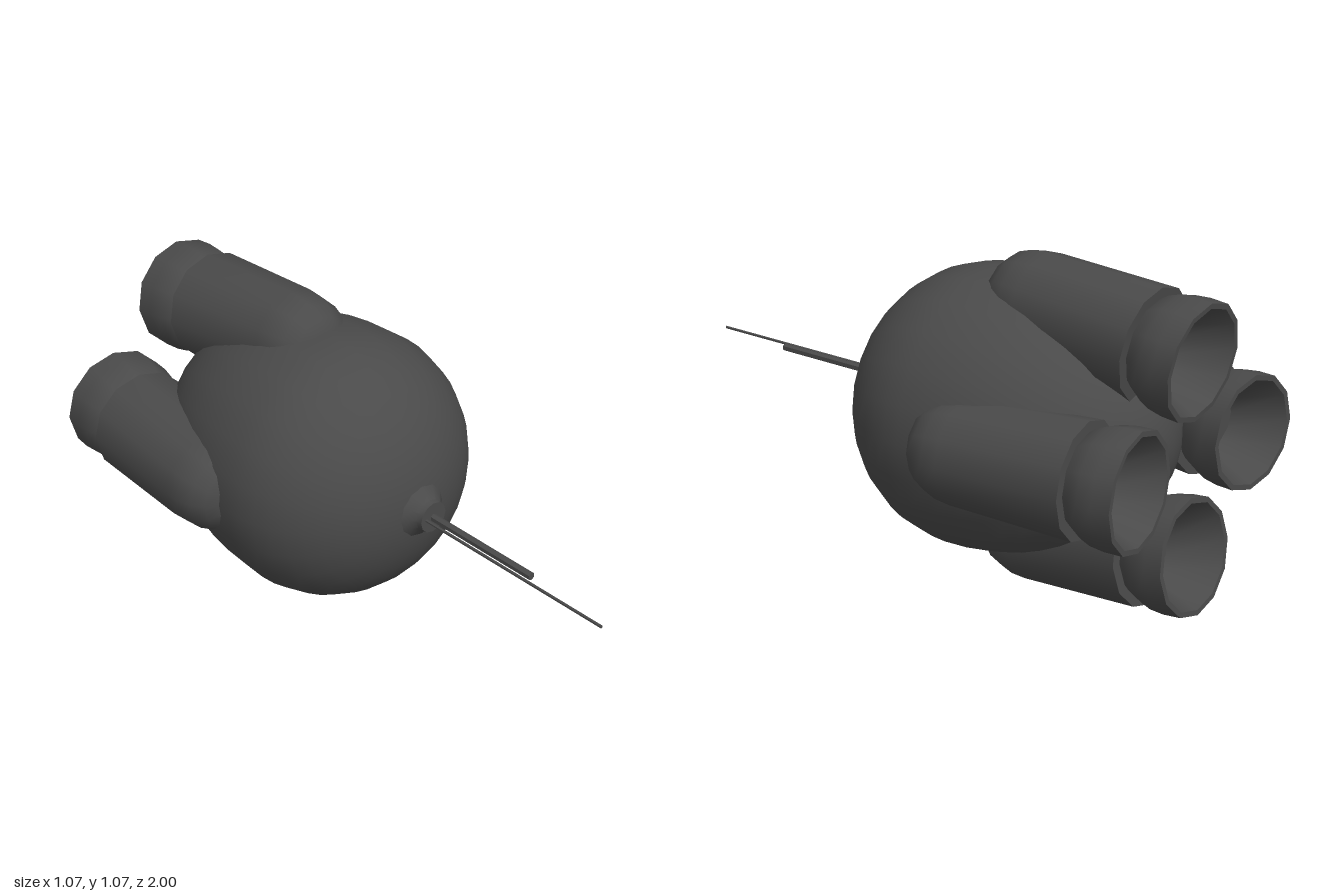
import * as THREE from 'three';
import { toCreasedNormals } from 'three/addons/utils/BufferGeometryUtils.js';

const material = new THREE.MeshStandardMaterial({ color: 0x4a4a4a });
const CENTRE_Y = 0.538;

// Turned part: profile of [radius, distance backwards], spun about the z axis
function turned(name, profile, sides) {
  const points = profile.map(([r, t]) => new THREE.Vector2(r, t));
  const geometry = new THREE.LatheGeometry(points, sides).rotateX(-Math.PI / 2);
  const mesh = new THREE.Mesh(toCreasedNormals(geometry, 0.7), material);
  mesh.name = name;
  return mesh;
}

// Solid rod along z
function rod(name, radius, z0, z1, x, sides) {
  const mesh = turned(name, [[0, -z1], [radius, -z1], [radius, -z0], [0, -z0]], sides);
  mesh.position.x = x;
  return mesh;
}

// Egg-shaped hull: short rounded front, longer tapering back
function hullProfile() {
  const profile = [];
  const steps = 24;
  for (let i = 0; i <= steps; i++) {
    const a = (i / steps) * Math.PI;
    const length = i < steps / 2 ? 0.42 : 0.66;
    profile.push([0.457 * Math.sin(a), 0.2 - length * Math.cos(a)]);
  }
  return profile;
}

// Thruster pod with its open nozzle, built pointing straight back
function thruster() {
  const group = new THREE.Group();
  group.name = 'thruster';
  group.add(turned('thrusterPod', [
    [0, 0], [0.075, 0.004], [0.11, 0.025], [0.14, 0.06], [0.158, 0.105],
    [0.166, 0.16], [0.183, 0.58], [0, 0.58],
  ], 12));
  group.add(turned('nozzle', [
    [0.145, 0.575], [0.166, 0.605], [0.18, 0.64], [0.187, 0.69], [0.187, 0.75],
    [0.17, 0.75], [0.095, 0.59], [0, 0.59],
  ], 12));
  return group;
}

export function createModel() {
  const model = new THREE.Group();
  model.name = 'podCraft';

  const craft = new THREE.Group();
  craft.name = 'craft';
  craft.position.y = CENTRE_Y;
  model.add(craft);

  craft.add(turned('hull', hullProfile(), 24));

  // Flared nose socket with probe and thin antenna
  craft.add(turned('noseSocket', [
    [0, -0.264], [0.053, -0.264], [0.055, -0.245], [0.07, -0.228], [0.097, -0.205], [0.1, -0.18],
  ], 12));
  craft.add(rod('probe', 0.013, 0.24, 0.69, 0, 6));
  craft.add(rod('antenna', 0.005, 0.24, 1, -0.029, 6));

  // Four thrusters around the hull, converging slightly towards the rear
  for (let i = 0; i < 4; i++) {
    const mount = new THREE.Group();
    mount.name = 'thrusterMount' + (i + 1);
    mount.rotation.z = (i * Math.PI) / 2;
    const pod = thruster();
    pod.position.set(0, 0.389, -0.232);
    pod.rotation.x = -0.11;
    mount.add(pod);
    craft.add(mount);
  }
  return model;
}
